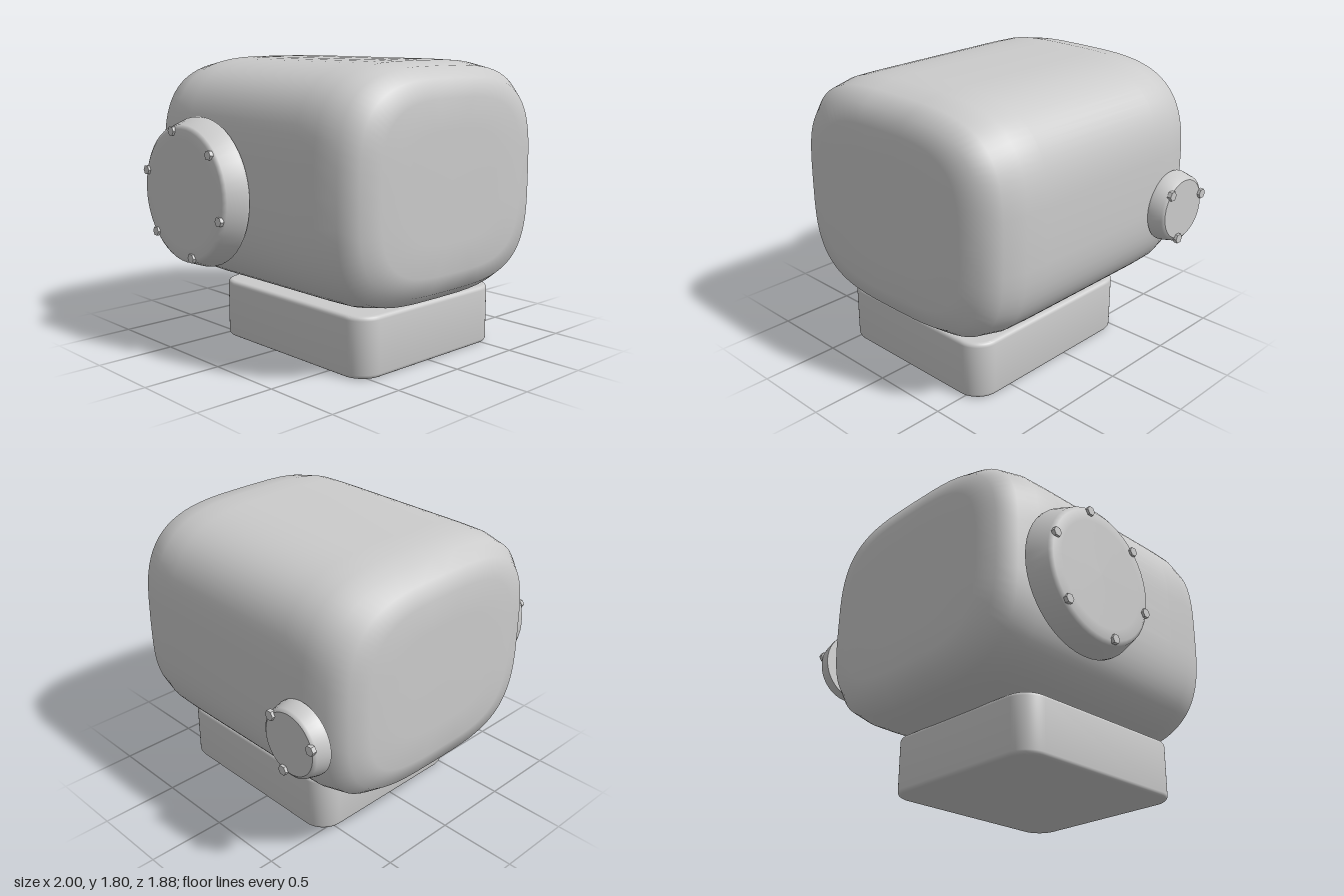
import * as THREE from 'three';
import { toCreasedNormals } from 'three/addons/utils/BufferGeometryUtils.js';

const material = new THREE.MeshStandardMaterial({ color: 0xcccccc });
const flatMaterial = new THREE.MeshStandardMaterial({ color: 0xcccccc, flatShading: true });

function addMesh(parent, name, geometry, mat = material) {
  const mesh = new THREE.Mesh(geometry, mat);
  mesh.name = name;
  parent.add(mesh);
  return mesh;
}

// Soft box: superellipse sections stacked along z, rounded towards both ends
function housingGeometry() {
  const SEG = 72, HALF_W = 0.855, HALF_H = 0.72, POWER = 3.4;
  const end = [[0.01, 0.94], [0.45, 0.94], [0.71, 0.938], [0.865, 0.905], [0.957, 0.81], [0.995, 0.66], [1, 0.5]];
  const rings = [...end.map(([s, z]) => [s, -z]), ...end.slice().reverse()];
  const positions = [], index = [];
  const bend = (v) => Math.sign(v) * Math.abs(v) ** (2 / POWER);
  for (const [s, z] of rings) {
    for (let i = 0; i < SEG; i++) {
      const a = (i / SEG) * Math.PI * 2;
      positions.push(HALF_W * s * bend(Math.cos(a)), HALF_H * s * bend(Math.sin(a)), z);
    }
  }
  for (let r = 0; r < rings.length - 1; r++) {
    for (let i = 0; i < SEG; i++) {
      const j = (i + 1) % SEG;
      const a = r * SEG + i, b = r * SEG + j, c = a + SEG, d = b + SEG;
      index.push(a, b, d, a, d, c);
    }
  }
  // Close the tiny openings at the two ends
  const last = (rings.length - 1) * SEG;
  for (let i = 1; i < SEG - 1; i++) index.push(0, i + 1, i, last, last + i, last + i + 1);
  const geometry = new THREE.BufferGeometry();
  geometry.setAttribute('position', new THREE.Float32BufferAttribute(positions, 3));
  geometry.setIndex(index);
  geometry.computeVertexNormals();
  return geometry;
}

// Block with rounded upright corners and a small bevel above and below
function baseGeometry(w, h, d, radius, bevel) {
  const x = w / 2 - bevel, y = d / 2 - bevel, r = radius - bevel;
  const shape = new THREE.Shape();
  shape.absarc(x - r, y - r, r, 0, Math.PI / 2);
  shape.absarc(-x + r, y - r, r, Math.PI / 2, Math.PI);
  shape.absarc(-x + r, -y + r, r, Math.PI, Math.PI * 1.5);
  shape.absarc(x - r, -y + r, r, Math.PI * 1.5, Math.PI * 2);
  const geometry = new THREE.ExtrudeGeometry(shape, {
    depth: h - 2 * bevel, bevelThickness: bevel, bevelSize: bevel, bevelSegments: 4, curveSegments: 10,
  });
  geometry.translate(0, 0, bevel).rotateX(-Math.PI / 2);
  return toCreasedNormals(geometry, Math.PI / 5);
}

// Round bolted plate; local +y points away from the housing.
// Each run of [radius, height] points is smooth; edges between runs stay crisp.
function coverPlate(name, runs, top, boltCount, boltCircle, boltRadius, boltHeight, firstAngle) {
  const cover = new THREE.Group();
  cover.name = name;
  for (const run of runs) {
    const points = run.map(([r, y]) => new THREE.Vector2(r, y));
    addMesh(cover, name + 'Plate', new THREE.LatheGeometry(points, 48));
  }
  for (let i = 0; i < boltCount; i++) {
    const a = firstAngle + (i / boltCount) * Math.PI * 2;
    const bolt = addMesh(cover, name + 'Bolt', new THREE.CylinderGeometry(boltRadius, boltRadius, boltHeight, 6), flatMaterial);
    bolt.position.set(Math.sin(a) * boltCircle, top + boltHeight / 2 - 0.01, Math.cos(a) * boltCircle);
  }
  return cover;
}

export function createModel() {
  const model = new THREE.Group();
  model.name = 'machineHousing';

  const housing = addMesh(model, 'housing', housingGeometry());
  housing.position.set(0.025, 1.077, 0);

  const base = addMesh(model, 'base', baseGeometry(1.2, 0.37, 1.33, 0.15, 0.025));
  base.position.set(0.02, 0, 0.125);

  // Large cover on the -x side: local +y turned to -x, local +x to +y
  const large = coverPlate('largeCover', [
    [[0, 0], [0.46, 0]],
    [[0.46, 0], [0.46, 0.02], [0.42, 0.132], [0.395, 0.15], [0.33, 0.152], [0, 0.152]],
  ], 0.152, 6, 0.388, 0.03, 0.024, THREE.MathUtils.degToRad(103));
  large.rotation.z = Math.PI / 2;
  large.position.set(-0.835, 0.99, -0.34);
  model.add(large);

  // Small cover on the +x side: local +y turned to +x, local +x to -y
  const small = coverPlate('smallCover', [
    [[0, 0], [0.227, 0]],
    [[0.227, 0], [0.227, 0.015], [0.21, 0.09], [0.19, 0.104]],
    [[0.19, 0.104], [0, 0.104]],
  ], 0.104, 3, 0.19, 0.032, 0.028, THREE.MathUtils.degToRad(-43));
  small.rotation.z = -Math.PI / 2;
  small.position.set(0.878, 0.91, -0.665);
  model.add(small);

  return model;
}
